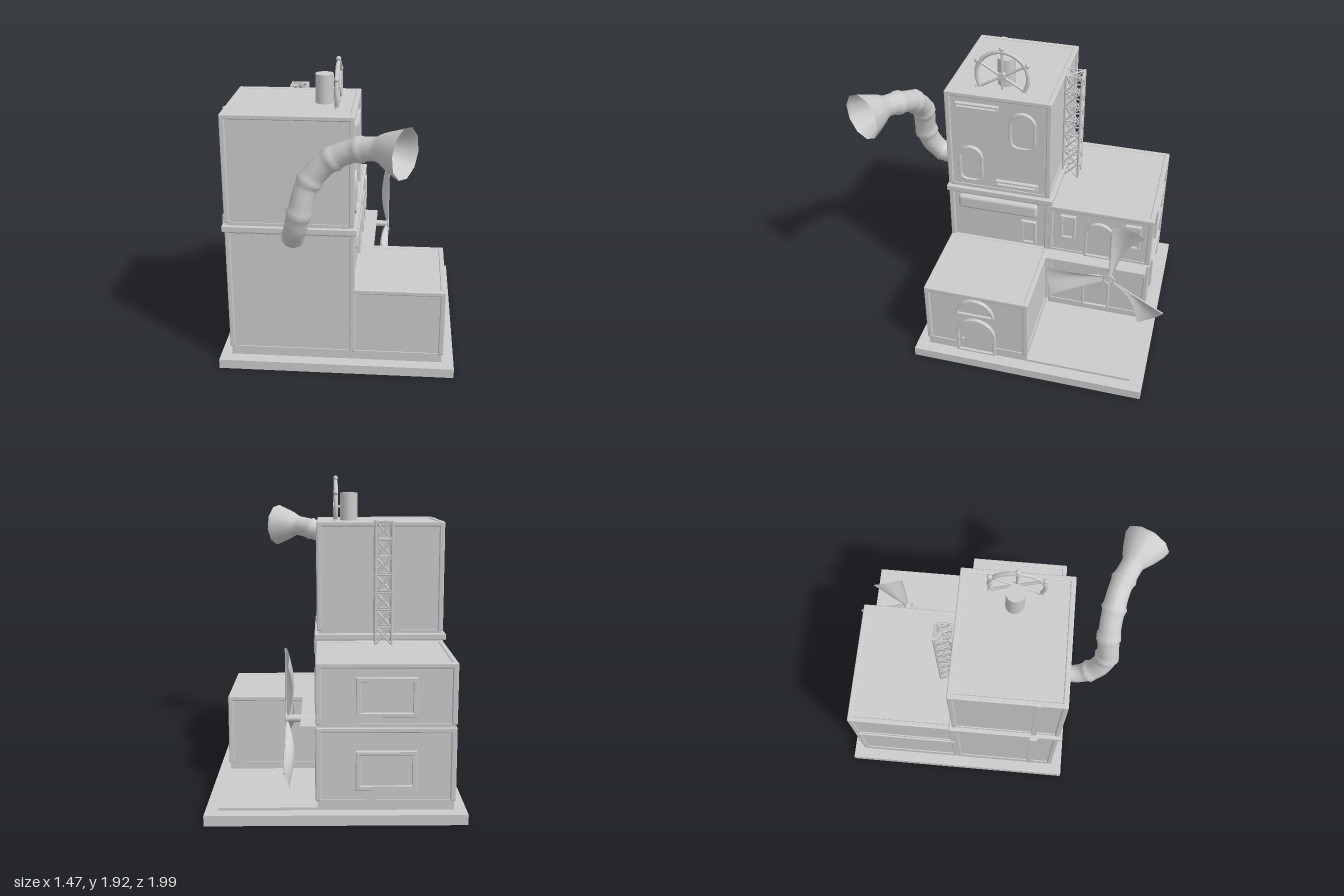
import * as THREE from 'three';
import { mergeVertices } from 'three/addons/utils/BufferGeometryUtils.js';
import { RoundedBoxGeometry } from 'three/addons/geometries/RoundedBoxGeometry.js';

const mat = new THREE.MeshStandardMaterial({ color: 0xcccccc });
const thin = new THREE.MeshStandardMaterial({ color: 0xcccccc, side: THREE.DoubleSide });

function add(parent, name, geo, material = mat) {
  const mesh = new THREE.Mesh(geo, material);
  mesh.name = name;
  parent.add(mesh);
  return mesh;
}

// Box given by its limits, optionally rounded
function box(parent, name, x0, x1, y0, y1, z0, z1, r = 0) {
  const s = [x1 - x0, y1 - y0, z1 - z0];
  const geo = r ? new RoundedBoxGeometry(...s, 2, r) : new THREE.BoxGeometry(...s);
  add(parent, name, geo).position.set((x0 + x1) / 2, (y0 + y1) / 2, (z0 + z1) / 2);
}

// Round bar between two points
function bar(parent, name, a, b, r, sides = 6) {
  const d = b.clone().sub(a);
  const m = add(parent, name, new THREE.CylinderGeometry(r, r, d.length(), sides));
  m.position.copy(a).addScaledVector(d, 0.5);
  m.quaternion.setFromUnitVectors(new THREE.Vector3(0, 1, 0), d.normalize());
  return m;
}

// Building block: slightly recessed walls, corner posts, roof edging and skirting
function block(parent, name, x0, x1, y0, y1, z0, z1) {
  const g = new THREE.Group();
  g.name = name;
  parent.add(g);
  const e = 0.012, p = 0.016;
  box(g, 'walls', x0 + e, x1 - e, y0, y1 - 0.006, z0 + e, z1 - e);
  box(g, 'skirting', x0 + 0.005, x1 - 0.005, y0, y0 + 0.06, z0 + 0.005, z1 - 0.005);
  const xs = [x0 + e, x1 - e], zs = [z0 + e, z1 - e];
  for (const x of xs) {
    for (const z of zs) box(g, 'cornerPost', x - p, x + p, y0 + 0.055, y1, z - p, z + p, 0.007);
    box(g, 'roofEdge', x - p, x + p, y1 - 0.03, y1, z0, z1, 0.007);
  }
  for (const z of zs) box(g, 'roofEdge', x0, x1, y1 - 0.03, y1, z - p, z + p, 0.007);
}

// Outlines standing on v = 0, inset by t
const rect = (w, h) => (t) => {
  const a = w / 2 - t;
  return new THREE.Shape().moveTo(-a, t).lineTo(a, t).lineTo(a, h - t).lineTo(-a, h - t).closePath();
};
const arch = (w, h) => (t) => {
  const a = w / 2 - t;
  return new THREE.Shape().moveTo(-a, t).lineTo(a, t).lineTo(a, h - w / 2)
    .absarc(0, h - w / 2, a, 0, Math.PI, false).closePath();
};
const pill = (w, h) => (t) => {
  const a = w / 2 - t, c = w * 0.4;
  return new THREE.Shape().moveTo(-a, c).quadraticCurveTo(-a, t, -a + c - t, t).lineTo(a - c + t, t)
    .quadraticCurveTo(a, t, a, c).lineTo(a, h - w / 2)
    .absarc(0, h - w / 2, a, 0, Math.PI, false).closePath();
};
const half = (w, h) => (t) => {
  const s = new THREE.Shape().moveTo(-w / 2 + t, t).lineTo(w / 2 - t, t);
  s.absellipse(0, t, w / 2 - t, h - 2 * t, 0, Math.PI, false);
  return s.closePath();
};

// Opening with raised frame and pane, set on a wall facing the turned +z
function opening(parent, name, outline, x, y, z, turn = Math.PI / 2, t = 0.014) {
  const g = new THREE.Group();
  g.name = name;
  g.position.set(x, y, z);
  g.rotation.y = turn;
  const ring = outline(0.003);
  ring.holes.push(outline(t));
  const bevel = { bevelThickness: 0.004, bevelSize: 0.003, bevelSegments: 1, curveSegments: 12 };
  add(g, 'frame', new THREE.ExtrudeGeometry(ring, { depth: 0.018, ...bevel }));
  add(g, 'pane', new THREE.ExtrudeGeometry(outline(t - 0.002), { depth: 0.008, bevelEnabled: false }));
  parent.add(g);
  return g;
}

function buildHorn(parent) {
  const curve = new THREE.CatmullRomCurve3([
    [-0.25, 0.93, 0.43], [-0.245, 0.93, 0.56], [-0.22, 1.02, 0.67], [-0.185, 1.15, 0.71], [-0.13, 1.33, 0.695],
    [-0.02, 1.455, 0.7], [0.12, 1.53, 0.73], [0.27, 1.565, 0.8], [0.4, 1.565, 0.87],
  ].map((p) => new THREE.Vector3(...p)));
  const n = 64, sides = 10;
  const radius = (t) => {
    let r = 0.05 + 0.018 * Math.min(t / 0.25, 1);
    for (const c of [0.16, 0.33, 0.49, 0.64, 0.78]) r += 0.011 * Math.exp(-(((t - c) / 0.014) ** 2));
    if (t > 0.87) r += 0.077 * ((t - 0.87) / 0.13) ** 0.8;
    return r;
  };
  // Swell a unit tube ring by ring
  let geo = new THREE.TubeGeometry(curve, n, 1, sides);
  const pos = geo.attributes.position, v = new THREE.Vector3();
  for (let i = 0; i <= n; i++) {
    const c = curve.getPointAt(i / n);
    for (let j = 0; j <= sides; j++) {
      const k = i * (sides + 1) + j;
      v.fromBufferAttribute(pos, k).sub(c).multiplyScalar(radius(i / n)).add(c);
      pos.setXYZ(k, v.x, v.y, v.z);
    }
  }
  geo.deleteAttribute('uv');
  geo.deleteAttribute('normal');
  geo = mergeVertices(geo);
  geo.computeVertexNormals();
  add(parent, 'horn', geo, thin);
}

function buildPropeller(parent) {
  const g = new THREE.Group();
  g.name = 'propeller';
  g.position.set(0.285, 0.53, -0.635);
  g.rotation.y = Math.PI / 2;
  // Sail: straight leading edge, widening to the tip, bellied towards the wall
  const sail = new THREE.PlaneGeometry(1, 1, 8, 10);
  const p = sail.attributes.position;
  for (let i = 0; i < p.count; i++) {
    const w = p.getX(i) + 0.5, s = p.getY(i) + 0.5;
    const width = 0.02 + 0.08 * s + 0.1 * s ** 3;
    p.setXYZ(i, w * width, 0.02 + s * (0.4 - 0.07 * w * w), -0.05 * Math.sin(w * 2.2) * Math.sin(0.3 + s * 2.3));
  }
  sail.computeVertexNormals();
  for (let i = 0; i < 3; i++) {
    const blade = add(g, 'blade', sail, thin);
    blade.rotation.z = (i * Math.PI * 2) / 3;
    const spar = add(g, 'spar', new THREE.CylinderGeometry(0.005, 0.005, 0.41, 6).translate(0, 0.21, 0));
    spar.rotation.z = blade.rotation.z;
  }
  add(g, 'hubRing', new THREE.TorusGeometry(0.032, 0.007, 6, 20));
  add(g, 'shaft', new THREE.CylinderGeometry(0.022, 0.022, 0.19, 12).rotateX(Math.PI / 2)).position.z = -0.095;
  parent.add(g);
}

function buildWheel(parent) {
  const g = new THREE.Group();
  g.name = 'roofWheel';
  g.position.set(-0.01, 1.72, 0.13);
  g.rotation.y = Math.PI / 2;
  add(g, 'rim', new THREE.TorusGeometry(0.16, 0.013, 8, 36));
  for (let i = 0; i < 6; i++) {
    const a = Math.PI / 2 + (i * Math.PI) / 3;
    const d = new THREE.Vector3(Math.cos(a), Math.sin(a), 0);
    bar(g, 'spoke', new THREE.Vector3(), d.clone().multiplyScalar(0.18), 0.009, 8);
    add(g, 'knob', new THREE.SphereGeometry(0.016, 10, 8)).position.copy(d.multiplyScalar(0.18));
  }
  add(g, 'hub', new THREE.CylinderGeometry(0.025, 0.025, 0.03, 12).rotateX(Math.PI / 2));
  add(g, 'axle', new THREE.CylinderGeometry(0.01, 0.01, 0.08, 8).rotateX(Math.PI / 2)).position.z = -0.04;
  parent.add(g);
  add(parent, 'chimney', new THREE.CylinderGeometry(0.055, 0.055, 0.18, 24)).position.set(-0.095, 1.72, 0.125);
}

function buildMast(parent) {
  const g = new THREE.Group();
  g.name = 'latticeMast';
  const cells = 7, y0 = 0.9, h = 0.745 / cells, r = 0.0055;
  const c = [[-0.345, -0.31], [-0.245, -0.31], [-0.245, -0.21], [-0.345, -0.21]];
  const at = (i, y) => new THREE.Vector3(c[i % 4][0], y, c[i % 4][1]);
  for (let i = 0; i < 4; i++) {
    bar(g, 'upright', at(i, y0), at(i, 1.65), 0.008);
    for (let k = 0; k < cells; k++) {
      const y = y0 + k * h;
      bar(g, 'brace', at(i, y), at(i + 1, y + h), r);
      bar(g, 'brace', at(i + 1, y), at(i, y + h), r);
      bar(g, 'rung', at(i, y + h), at(i + 1, y + h), r);
    }
  }
  for (let i = 0; i < 2; i++) bar(g, 'topBrace', at(i, 1.645), at(i + 2, 1.645), r);
  parent.add(g);
}

export function createModel() {
  const m = new THREE.Group();
  m.name = 'workshopBuilding';

  // Ground slabs and blocks
  box(m, 'base', -0.735, 0.735, 0, 0.06, -0.94, 0.535);
  box(m, 'plinth', -0.66, 0.66, 0.06, 0.075, -0.86, 0.455);
  block(m, 'towerLower', -0.67, 0.11, 0.06, 0.93, -0.2, 0.46);
  block(m, 'towerUpper', -0.67, 0.105, 0.91, 1.64, -0.2, 0.46);
  block(m, 'rearLower', -0.67, 0.11, 0.06, 0.54, -0.865, -0.2);
  block(m, 'rearUpper', -0.67, 0.11, 0.5, 0.905, -0.865, -0.2);
  block(m, 'frontAnnex', 0.09, 0.665, 0.06, 0.55, -0.2, 0.46);
  box(m, 'towerBand', -0.69, 0.125, 0.91, 0.95, -0.225, 0.475, 0.006);
  box(m, 'balconyLedge', 0.09, 0.2, 0.515, 0.545, -0.85, -0.2);

  // Flat duct up the right-hand wall, with its clamp
  box(m, 'wallDuct', -0.678, -0.655, 0.11, 1.64, 0.285, 0.32);
  box(m, 'ductClamp', -0.712, -0.66, 0.9, 0.96, 0.28, 0.33);

  // Tower side
  opening(m, 'upperWindow', pill(0.17, 0.26), 0.093, 1.29, -0.025);
  opening(m, 'lowerWindow', pill(0.16, 0.26), 0.093, 1.005, 0.31);
  opening(m, 'upperVent', rect(0.27, 0.034), 0.093, 1.54, 0.26, Math.PI / 2, 0.008);
  opening(m, 'lowerVent', rect(0.27, 0.036), 0.093, 1.002, 0.012, Math.PI / 2, 0.008);
  box(m, 'awning', 0.08, 0.13, 0.79, 0.888, -0.125, 0.4, 0.022);
  opening(m, 'sideWindow', rect(0.1, 0.18), 0.098, 0.572, -0.07);

  // Annex entrance
  const door = opening(m, 'entranceDoor', arch(0.255, 0.285), 0.653, 0.06, 0.135);
  add(door, 'doorKnob', new THREE.SphereGeometry(0.01, 10, 8)).position.set(-0.088, 0.105, 0.013);
  opening(m, 'fanWindow', half(0.25, 0.135), 0.653, 0.375, 0.137);

  // Rear block side and back
  for (const y of [0.115, 0.545]) opening(m, 'archDoor', arch(0.185, 0.275), 0.098, y, -0.53);
  for (const z of [-0.327, -0.745]) opening(m, 'rearSideWindow', rect(0.1, 0.18), 0.098, 0.665, z);
  for (const y of [0.18, 0.6]) opening(m, 'backWindow', rect(0.34, 0.225), -0.28, y, -0.853, Math.PI, 0.022);

  buildHorn(m);
  buildPropeller(m);
  buildWheel(m);
  buildMast(m);
  return m;
}
